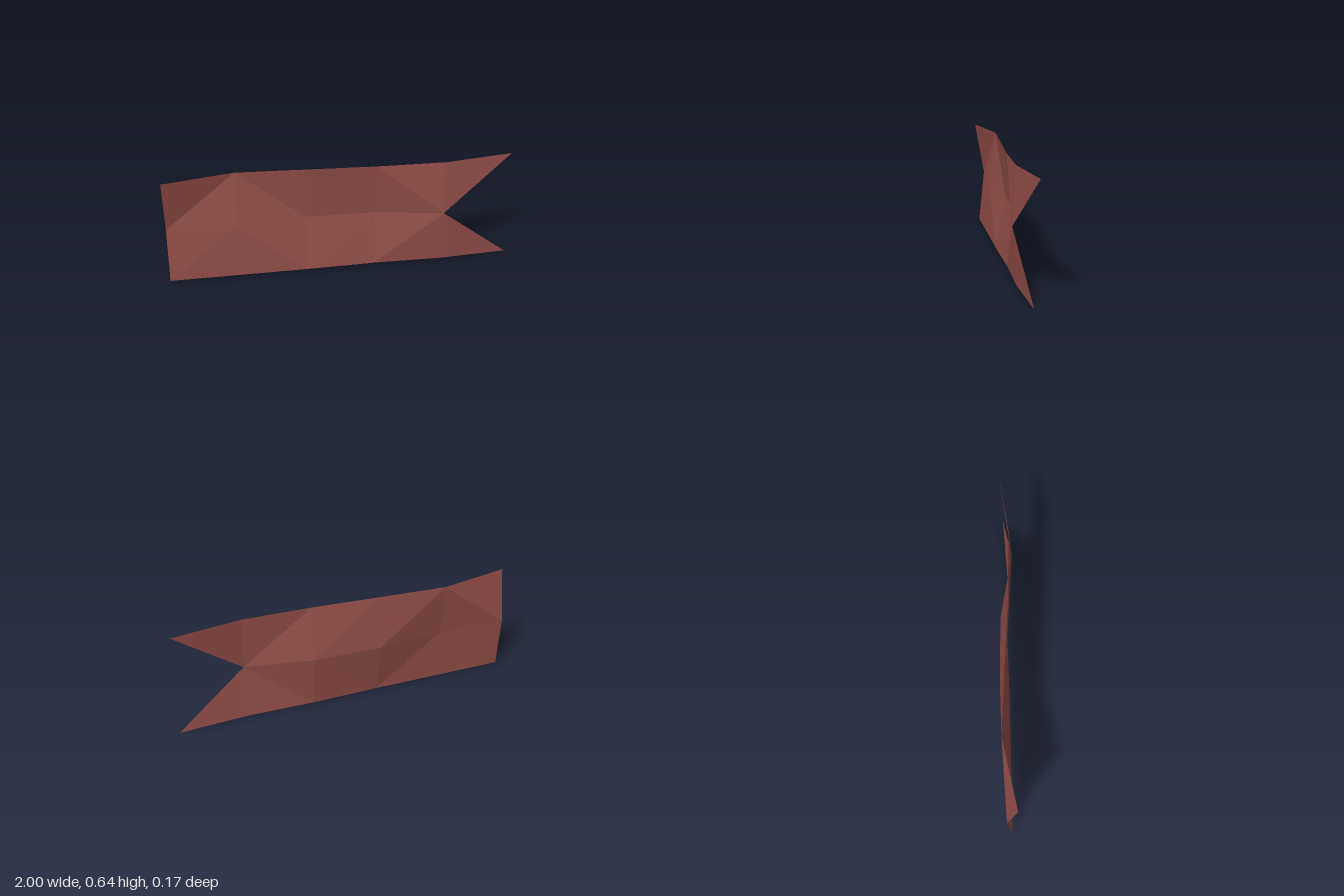
import * as THREE from 'three';

// Swallow-tailed cloth banner: a folded low-poly sheet with a notched end.
export function createModel() {
  const group = new THREE.Group();
  group.name = 'banner';

  const cloth = new THREE.MeshStandardMaterial({ color: 0x944f4a });
  cloth.name = 'faded red cloth';
  cloth.side = THREE.DoubleSide;
  cloth.flatShading = true;

  const height = 0.645, columns = 5;
  // depth of the cloth along its lower edge, middle and upper edge
  const bottom = [0.063, 0.042, 0.021, -0.006, -0.018, -0.06];
  const middle = [0.03, 0.028, -0.036, -0.046, 0.007];
  const top = [0.088, -0.012, -0.007, -0.002, -0.012, -0.087];
  const row = (depths, y) => depths.map((z, i) => [-1 + 0.4 * i, y, z]);
  const low = row(bottom, 0), mid = row(middle, height / 2), high = row(top, height);

  const points = [];
  const face = (a, b, c) => points.push(...a, ...b, ...c);
  // a quad cut from lower left to upper right (rising) or the other way
  const quad = (lower, upper, i, rising) => {
    const a = lower[i], b = lower[i + 1], c = upper[i + 1], d = upper[i];
    if (rising) { face(a, b, c); face(a, c, d); }
    else { face(a, b, d); face(b, c, d); }
  };

  // body of the cloth, with the fold direction of each panel
  const lowerRising = [true, false, true, true];
  const upperRising = [true, false, false, false];
  for (let i = 0; i < columns - 1; i++) {
    quad(low, mid, i, lowerRising[i]);
    quad(mid, high, i, upperRising[i]);
  }
  // two pointed tails
  face(low[4], low[5], mid[4]);
  face(mid[4], high[5], high[4]);

  const geometry = new THREE.BufferGeometry();
  geometry.setAttribute('position', new THREE.Float32BufferAttribute(points, 3));
  geometry.computeVertexNormals();

  const sheet = new THREE.Mesh(geometry, cloth);
  sheet.name = 'bannerCloth';
  group.add(sheet);
  return group;
}
